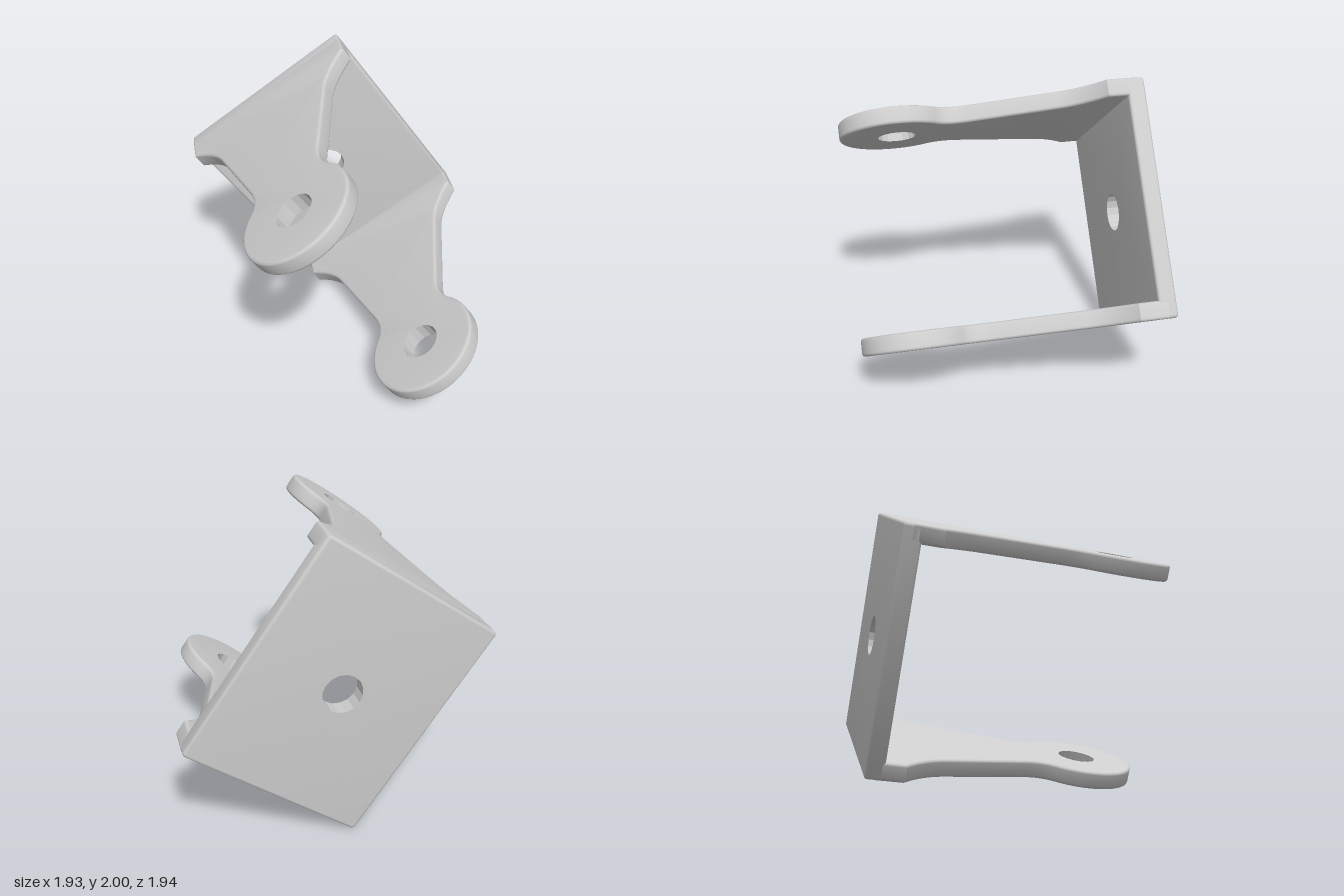
import * as THREE from 'three';
import { toCreasedNormals } from 'three/addons/utils/BufferGeometryUtils.js';

const HALF_W = 0.647;   // half width of the bracket
const HALF_H = 0.778;   // half height across both arms
const THICK = 0.118;    // sheet thickness
const ROUND = 0.02;     // edge rounding
const HOLE_R = 0.128;

// Slab with rounded outer edges and a straight, sharp-edged hole, centred on its thickness.
function roundedSlab(shape, holeY) {
  const hole = [];
  for (let i = 0; i < 16; i++) {
    const a = -i / 16 * Math.PI * 2;
    hole.push(new THREE.Vector2(HOLE_R * Math.cos(a), holeY + HOLE_R * Math.sin(a)));
  }
  shape.holes.push(new THREE.Path(hole.concat([hole[0].clone()])));
  const depth = THICK - 2 * ROUND;
  const geo = new THREE.ExtrudeGeometry(shape, {
    depth, curveSegments: 20, bevelEnabled: true, bevelSegments: 5,
    bevelThickness: ROUND, bevelSize: ROUND, bevelOffset: -ROUND,
  });
  geo.translate(0, 0, -depth / 2);
  // pull the hole's bevel back to a plain cylinder wall
  const p = geo.attributes.position;
  for (let i = 0; i < p.count; i++) {
    const x = p.getX(i), y = p.getY(i) - holeY, d = Math.hypot(x, y);
    if (d < HOLE_R + 2 * ROUND) p.setXY(i, x / d * HOLE_R, holeY + y / d * HOLE_R);
  }
  return toCreasedNormals(geo, 0.37);
}

// Arm outline: wide root, concave shoulder, taper, neck and round eye (shape y runs forward).
function armShape() {
  const s = new THREE.Shape();
  const a = Math.atan2(-0.24, 0.295);
  s.moveTo(HALF_W, -0.91);
  s.lineTo(HALF_W, -0.72);
  s.quadraticCurveTo(0.479, -0.58, 0.437, -0.44);
  s.lineTo(0.27, 0.12);
  s.quadraticCurveTo(0.225, 0.262, 0.295, 0.35);
  s.absarc(0, 0.59, 0.3803, a, Math.PI - a, false);
  s.quadraticCurveTo(-0.225, 0.262, -0.27, 0.12);
  s.lineTo(-0.437, -0.44);
  s.quadraticCurveTo(-0.479, -0.58, -HALF_W, -0.72);
  s.lineTo(-HALF_W, -0.91);
  s.closePath();
  return s;
}

// Back plate outline with slightly rounded corners.
function plateShape() {
  const s = new THREE.Shape(), r = 0.026, w = HALF_W - r, h = HALF_H - r, q = Math.PI / 2;
  s.absarc(w, h, r, 0, q, false);
  s.absarc(-w, h, r, q, 2 * q, false);
  s.absarc(-w, -h, r, 2 * q, 3 * q, false);
  s.absarc(w, -h, r, 3 * q, 4 * q, false);
  return s;
}

export function createModel() {
  const model = new THREE.Group();
  model.name = 'forkBracket';
  const material = new THREE.MeshStandardMaterial({ color: 0xcccccc });

  // whole bracket is tilted about the front axis
  const bracket = new THREE.Group();
  bracket.name = 'tiltedBracket';
  bracket.rotation.z = THREE.MathUtils.degToRad(34.55);
  bracket.position.y = 1;
  model.add(bracket);

  // back plate
  const plate = new THREE.Mesh(roundedSlab(plateShape(), 0), material);
  plate.name = 'backPlate';
  plate.position.z = -0.97 + THICK / 2;
  bracket.add(plate);

  // pair of arms
  const armGeo = roundedSlab(armShape(), 0.585).rotateX(Math.PI / 2);
  for (const [name, side] of [['upperArm', 1], ['lowerArm', -1]]) {
    const arm = new THREE.Mesh(armGeo, material);
    arm.name = name;
    arm.position.y = side * (HALF_H - THICK / 2);
    bracket.add(arm);
  }
  return model;
}
